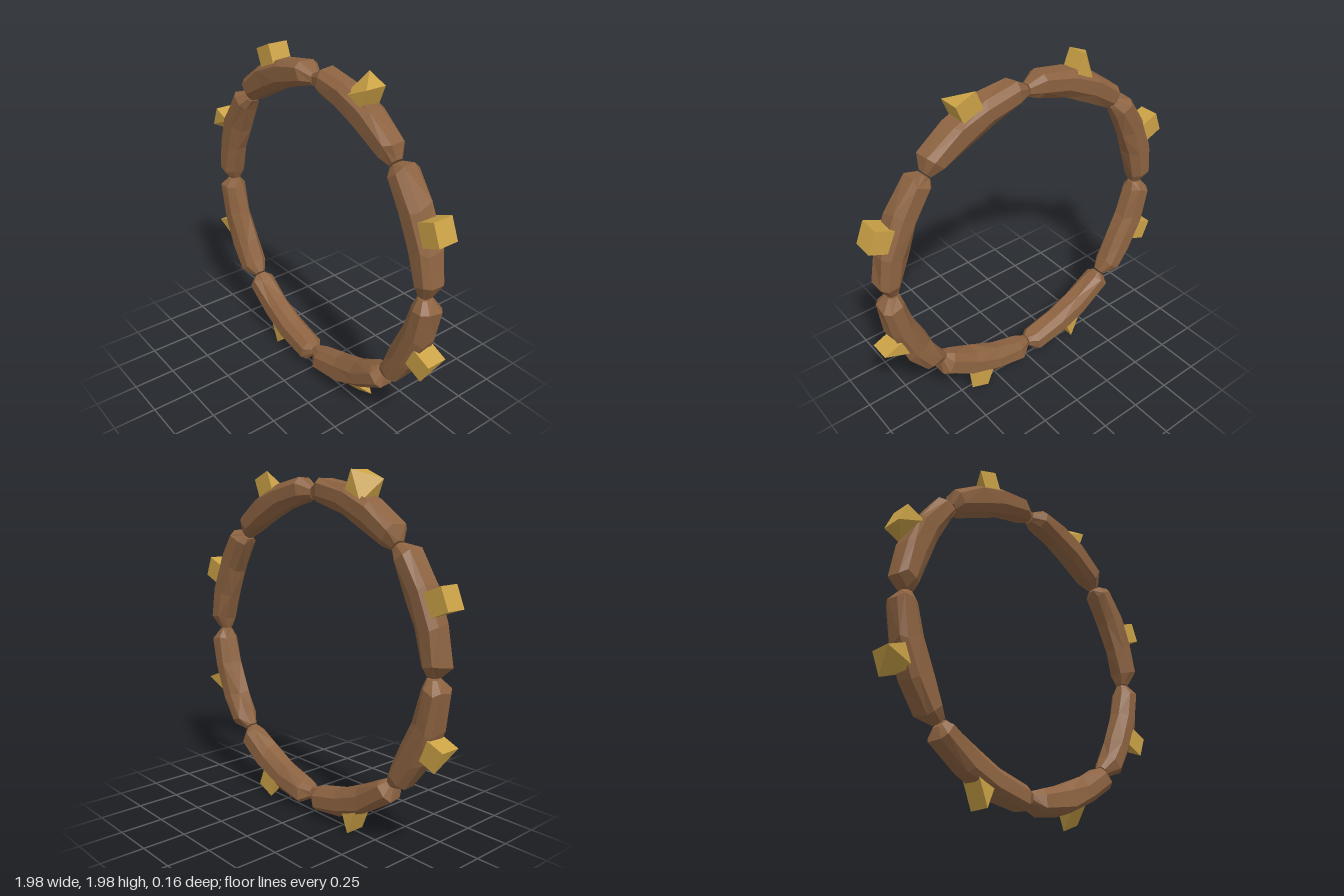
import * as THREE from 'three';
import { ConvexGeometry } from 'three/addons/geometries/ConvexGeometry.js';

const wood = new THREE.MeshStandardMaterial({ color: 0x8d6341, flatShading: true });
wood.name = 'brown wood';
const gold = new THREE.MeshStandardMaterial({ color: 0xcba246, flatShading: true });
gold.name = 'gold';

// Seeded random in -1..1
let seed = 7;
function jitter(amount) {
  seed = (seed * 16807) % 2147483647;
  return ((seed / 2147483647) * 2 - 1) * amount;
}

// Point on the upright ring, from angle, radius and depth
const polar = (deg, r, z) => {
  const a = THREE.MathUtils.degToRad(deg);
  return new THREE.Vector3(Math.cos(a) * r, 1 + Math.sin(a) * r, z);
};

// Half cross-sections [radius, z], from the outer to the inner edge
const endHalf = [[0.905, 0.018], [0.89, 0.034], [0.86, 0.034], [0.84, 0.018]];
const shoulderHalf = [[0.957, 0.042], [0.925, 0.074], [0.86, 0.071], [0.825, 0.035]];
const middleHalf = [[0.957, 0.045], [0.925, 0.076], [0.85, 0.072], [0.802, 0.035]];
const stations = [
  [0.3, endHalf, 0], [4.3, shoulderHalf, 0.006], [17, middleHalf, 0.009],
  [29, middleHalf, 0.009], [40.7, shoulderHalf, 0.006], [44.7, endHalf, 0],
];

// One rough-hewn log: faceted loft along an eighth of the ring
function segmentGeometry(start) {
  const positions = [], index = [], n = 8;
  for (const [deg, half, j] of stations) {
    const loop = [...half, ...[...half].reverse().map(([r, z]) => [r, -z])];
    const shift = j ? jitter(1.2) : 0;
    for (const [r, z] of loop) {
      const p = polar(start + deg + shift + jitter(j * 150), r + jitter(j), z + jitter(j * 0.4));
      positions.push(p.x, p.y, p.z);
    }
  }
  for (let s = 0; s < stations.length - 1; s++) {
    for (let i = 0; i < n; i++) {
      const a = s * n + i, b = s * n + (i + 1) % n, c = a + n, d = b + n;
      // Alternating diagonals give the carved look
      if ((s + i) % 2) index.push(a, c, b, b, c, d);
      else index.push(a, c, d, a, d, b);
    }
  }
  const last = (stations.length - 1) * n;
  for (let i = 1; i < n - 1; i++) {
    index.push(0, i, i + 1, last, last + i + 1, last + i);
  }
  const g = new THREE.BufferGeometry();
  g.setAttribute('position', new THREE.Float32BufferAttribute(positions, 3));
  g.setIndex(index);
  const flat = g.toNonIndexed();
  flat.computeVertexNormals();
  return flat;
}

// Stud: cube with some corners knocked off (radial, tangent, z signs)
function studGeometry(deg, missing) {
  const a = THREE.MathUtils.degToRad(deg), h = 0.063, points = [];
  const centre = polar(deg, 0.983, 0);
  const radial = new THREE.Vector3(Math.cos(a), Math.sin(a), 0);
  const tangent = new THREE.Vector3(-Math.sin(a), Math.cos(a), 0);
  for (const r of [-1, 1]) for (const t of [-1, 1]) for (const z of [-1, 1]) {
    if (missing.some((m) => m[0] === r && m[1] === t && m[2] === z)) continue;
    const p = centre.clone().addScaledVector(radial, r * h).addScaledVector(tangent, t * h);
    p.z = z * 0.06;
    points.push(p);
  }
  return new ConvexGeometry(points);
}

// Missing corners for each stud, counter-clockwise from the left side
const chips = [
  [],
  [[1, 1, 1]],
  [[1, 1, -1]],
  [[-1, 1, 1]],
  [[1, 1, 1]],
  [[1, -1, 1], [1, -1, -1]],
  [[1, 1, 1], [1, -1, 1]],
  [[1, -1, -1]],
];

export function createModel() {
  const model = new THREE.Group();
  model.name = 'studdedRing';
  for (let i = 0; i < 8; i++) {
    const segment = new THREE.Mesh(segmentGeometry(i * 45), wood);
    segment.name = 'ringSegment' + (i + 1);
    const stud = new THREE.Mesh(studGeometry(i * 45 + 22.5, chips[i]), gold);
    stud.name = 'stud' + (i + 1);
    model.add(segment, stud);
  }
  return model;
}
